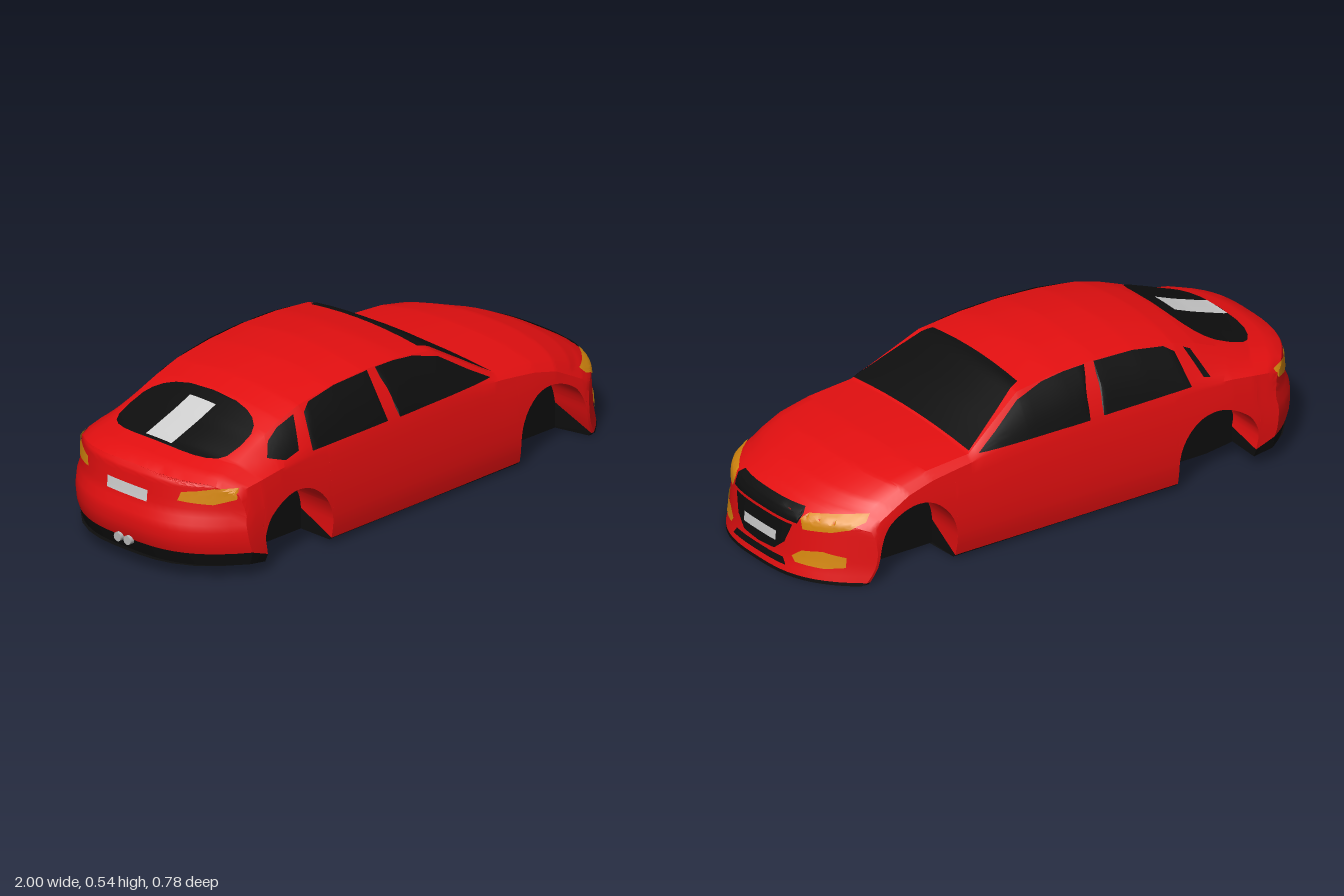
import * as THREE from 'three';
import { mergeGeometries, toCreasedNormals } from 'three/addons/utils/BufferGeometryUtils.js';

const material = (name, color) => new THREE.MeshStandardMaterial({ name, color, side: THREE.DoubleSide });
const V = (x, y, z) => new THREE.Vector3(x, y, z);

// Linear lookup in a table of rows [key, values...]
function lookup(table, key, col = 1) {
  if (key <= table[0][0]) return table[0][col];
  for (let i = 1; i < table.length; i++) {
    const a = table[i - 1], b = table[i];
    if (key <= b[0]) return a[col] + (b[col] - a[col]) * (key - a[0]) / (b[0] - a[0]);
  }
  return table[table.length - 1][col];
}

// station, centre height, roof edge height, roof edge half width, belt height, belt half width
const SECTIONS = [
  [-1, .35, .335, .29, .30, .355], [-.95, .372, .352, .29, .315, .36],
  [-.85, .395, .37, .285, .325, .365], [-.72, .435, .41, .28, .335, .365],
  [-.58, .485, .455, .275, .34, .362], [-.47, .512, .482, .275, .345, .36],
  [-.31, .533, .502, .275, .345, .36], [-.16, .54, .51, .275, .345, .36],
  [0, .532, .505, .275, .345, .36], [.16, .505, .484, .28, .342, .36],
  [.28, .435, .412, .308, .335, .36], [.39, .363, .345, .335, .325, .36],
  [.6, .353, .33, .335, .305, .365], [.76, .33, .305, .335, .28, .37],
  [.88, .292, .268, .335, .245, .372], [.96, .255, .235, .33, .215, .373],
  [1, .225, .21, .325, .19, .373],
];
const FRONT_LEAN = [[.01, 0], [.06, -.012], [.2, -.025], [.25, -.05]];
const REAR_LEAN = [[.05, .03], [.13, 0], [.19, 0], [.23, .02], [.33, .03], [.36, .05]];
const SILL = [[-1, .095], [-.7, .03], [0, .02], [1, .012]];
const FLOOR = [[-1, .05], [-.7, .02], [0, .012], [1, 0]];
const ARCHES = [{ x: .625, r: .156 }, { x: -.57, r: .158 }];
const ARCH_Y = .087, WELL_Z = .24;

// Stations bend backwards towards the sides, which rounds nose and tail in plan
function bentX(s, y, z) {
  const t = Math.max(0, (Math.abs(s) - .4) / .6);
  const lean = lookup(s > 0 ? FRONT_LEAN : REAR_LEAN, y);
  return s + t * lean - Math.sign(s) * .2 * t ** 1.5 * (Math.abs(z) / .39) ** 3;
}
const sideX = s => bentX(s, .1, .385);
function stationAt(x) {
  let a = -1, b = 1;
  for (let i = 0; i < 40; i++) {
    const m = (a + b) / 2;
    if (sideX(m) < x) a = m; else b = m;
  }
  return a;
}
const archAt = s => ARCHES.find(a => Math.abs(sideX(s) - a.x) < a.r);
function lowerEdge(s) {
  const a = archAt(s);
  return a ? ARCH_Y + Math.sqrt(a.r ** 2 - (sideX(s) - a.x) ** 2) : lookup(SILL, s);
}

// Half cross-section as [y, z], from lower edge over belt and roof edge to the centre
function halfSection(s) {
  const [yC, yR, wR, yS, wS] = [1, 2, 3, 4, 5].map(c => lookup(SECTIONS, s, c));
  const out = [], low = lowerEdge(s);
  for (let i = 0; i < 8; i++) {
    const y = low + (yS - low) * i / 8;
    const z = y < .1 ? .388 - .016 * ((.1 - y) / .1) ** 2
      : .388 - (.388 - wS) * ((y - .1) / (yS - .1)) ** 2;
    out.push([y, z]);
  }
  for (let i = 0; i < 5; i++) {
    const f = i / 5;
    out.push([yS + (yR - yS) * f, wS + (wR - wS) * f + (yR - yS) * .05 * Math.sin(Math.PI * f)]);
  }
  for (let i = 0; i <= 8; i++) {
    const f = 1 - i / 8;
    out.push([yR + (yC - yR) * (1 - f * f), wR * f]);
  }
  return out;
}

// Surface through rows of points
function grid(rows) {
  const n = rows[0].length, index = [];
  for (let i = 0; i < rows.length - 1; i++) for (let j = 0; j < n - 1; j++) {
    const a = i * n + j, b = a + n;
    index.push(a, b, b + 1, a, b + 1, a + 1);
  }
  const g = new THREE.BufferGeometry().setFromPoints(rows.flat());
  g.setIndex(index);
  return g;
}

// Rounded end face built of horizontal rows
function endCap(s, levels) {
  return grid(levels.map(([y, z]) => Array.from({ length: 25 }, (_, i) => {
    const zz = s * z * (i / 12 - 1);
    return V(bentX(s, y, zz), y, zz);
  })));
}

export function createModel() {
  const model = new THREE.Group();
  model.name = 'car';
  const red = material('body red', 0xe30f10), black = material('black', 0x0e0e0e);
  const amber = material('lamp amber', 0xd8890f), pale = material('plate grey', 0xcfcfcf);
  const silver = material('exhaust silver', 0xb8b8b8);
  const add = (name, geometry, mat) => {
    const mesh = new THREE.Mesh(geometry, mat);
    mesh.name = name;
    model.add(mesh);
    return mesh;
  };
  const smooth = (...parts) => toCreasedNormals(mergeGeometries(parts), .5);

  // Stations, packed more closely around the wheel arches
  const stations = SECTIONS.map(r => r[0]);
  for (let i = 1; i < 60; i++) stations.push(-1 + i / 30);
  for (const a of ARCHES) {
    for (let i = 1; i < 20; i++) stations.push(stationAt(a.x + a.r * Math.cos(Math.PI * i / 20)));
    for (const k of [-1.0003, -.9997, .9997, 1.0003]) stations.push(stationAt(a.x + a.r * k));
  }
  stations.sort((a, b) => a - b);

  // Body shell with nose and tail
  const shell = grid(stations.map(s => {
    const half = halfSection(s).map(([y, z]) => V(bentX(s, y, z), y, z));
    return [...half, ...half.slice(0, -1).reverse().map(p => V(p.x, p.y, -p.z))];
  }));
  const body = add('body', smooth(shell, endCap(1, halfSection(1)), endCap(-1, halfSection(-1))), red);
  body.updateMatrixWorld();

  // Underside, inner walls and red linings of the wheel wells
  const under = [], linings = { 1: [], [-1]: [] };
  for (const s of stations) {
    const [y, w] = halfSection(s)[0], inArch = archAt(s), yF = lookup(FLOOR, s);
    const zF = inArch ? WELL_Z : w * .97, x = bentX(s, y, w);
    const rim = V(x, y, w), inner = V(x, y, inArch ? WELL_Z : w);
    const flip = p => V(p.x, p.y, -p.z);
    const row = [flip(inner)];
    for (let i = -6; i <= 6; i++) row.push(V(bentX(s, y, w * i / 6), yF, zF * i / 6));
    row.push(inner);
    under.push(row);
    linings[1].push([inner, rim]);
    linings[-1].push([flip(rim), flip(inner)]);
  }
  add('underside', smooth(grid(under)), black);
  add('wheelWellLinings', smooth(grid(linings[1]), grid(linings[-1])), red);
  for (const s of [1, -1]) {
    const [y, w] = halfSection(s)[0];
    add(s > 0 ? 'frontLip' : 'rearDiffuser', smooth(endCap(s, [[lookup(FLOOR, s), w * .97], [y, w]])), black);
  }

  // Thin plate: an outline in two axes laid onto the body along the third
  const ray = new THREE.Raycaster();
  const VIEWS = {
    left: [(u, v) => V(u, v, 3), V(0, 0, -1)], right: [(u, v) => V(u, v, -3), V(0, 0, 1)],
    top: [(u, v) => V(u, 3, v), V(0, -1, 0)],
    front: [(u, v) => V(3, v, u), V(-1, 0, 0)], rear: [(u, v) => V(-3, v, u), V(1, 0, 0)],
  };
  function plate(name, mat, view, outline, lift = .004) {
    const [origin, dir] = VIEWS[view];
    const us = outline.map(p => p[0]), lo = Math.min(...us), hi = Math.max(...us);
    for (let i = 1; i < 14; i++) us.push(lo + (hi - lo) * i / 14);
    us.sort((a, b) => a - b);
    let last = 2.5;
    const rows = us.map(u => {
      const vs = [];
      outline.forEach((a, i) => {
        const b = outline[(i + 1) % outline.length];
        if (u < Math.min(a[0], b[0]) - 1e-9 || u > Math.max(a[0], b[0]) + 1e-9) return;
        if (Math.abs(a[0] - b[0]) < 1e-9) vs.push(a[1], b[1]);
        else vs.push(a[1] + (b[1] - a[1]) * (u - a[0]) / (b[0] - a[0]));
      });
      const v0 = Math.min(...vs), v1 = Math.max(...vs);
      return Array.from({ length: 8 }, (_, j) => {
        const o = origin(u, v0 + (v1 - v0) * j / 7);
        ray.set(o, dir);
        const hit = ray.intersectObject(body)[0];
        if (!hit) return o.addScaledVector(dir, last);
        last = hit.distance;
        const n = hit.face.normal.clone();
        if (n.dot(dir) > 0) n.negate();
        return hit.point.clone().addScaledVector(n, lift);
      });
    });
    add(name, smooth(grid(rows)), mat);
  }
  const box = (u0, u1, v0, v1) => [[u0, v0], [u1, v0], [u1, v1], [u0, v1]];
  const mirrored = half => [...half, ...half.slice().reverse().map(([u, v]) => [-u, v])];

  // Windows
  for (const side of ['left', 'right']) {
    plate(side + 'FrontWindow', black, side,
      [[-.075, .345], [-.107, .506], [-.02, .503], [.064, .493], [.17, .462], [.28, .39], [.36, .343]]);
    plate(side + 'RearWindow', black, side,
      [[-.48, .35], [-.455, .46], [-.42, .483], [-.3, .502], [-.145, .507], [-.13, .347]]);
  }
  plate('leftQuarterWindow', black, 'left',
    [[-.66, .37], [-.625, .41], [-.57, .44], [-.495, .462], [-.535, .365], [-.6, .352]]);
  plate('rightQuarterWindow', black, 'right', [[-.56, .36], [-.52, .45], [-.495, .462], [-.535, .365]]);
  plate('windscreen', black, 'top',
    [[.13, -.24], [.15, 0], [.13, .24], [.25, .285], [.383, .33], [.383, -.33], [.25, -.285]]);
  const pow = v => Math.sign(v) * Math.abs(v) ** .65;
  plate('rearScreen', black, 'top', Array.from({ length: 24 }, (_, i) => {
    const a = i / 12 * Math.PI;
    return [-.705 + .135 * pow(Math.cos(a)), .25 * pow(Math.sin(a))];
  }));
  plate('rearScreenPanel', pale, 'top', box(-.83, -.62, -.058, .058), .008);

  // Nose: grilles, intake, plate
  plate('upperGrille', black, 'front', mirrored([[.175, .188], [.185, .222], [.17, .236]]));
  plate('mainGrille', black, 'front', mirrored([[.157, .178], [.13, .11], [.085, .072], [.001, .066]]));
  plate('lowerIntake', black, 'front', mirrored([[.147, .033], [.13, .055]]));
  plate('frontPlate', pale, 'front', box(-.092, .085, .102, .135), .008);

  // Lamps
  for (const k of [1, -1]) {
    const side = k > 0 ? 'left' : 'right', m = pts => pts.map(([u, v]) => [u * k, v]);
    plate(side + 'Headlamp', amber, 'front', m([[.349, .218], [.339, .241], [.2, .226],
      [.184, .207], [.197, .174], [.285, .182], [.33, .197]]));
    plate(side + 'FogLamp', amber, 'front', m([[.326, .098], [.264, .111], [.2, .1],
      [.165, .073], [.18, .054], [.274, .052], [.326, .063]]));
    plate(side + 'TailLamp', amber, 'rear', m([[.2, .275], [.21, .305], [.3, .323], [.345, .318],
      [.352, .285], [.3, .268]]));
    // Exhaust tips
    const tip = add(side + 'Exhaust', new THREE.CylinderGeometry(.016, .016, .06, 16), silver);
    tip.rotation.z = Math.PI / 2;
    tip.position.set(-.972, .093, .022 * k);
  }
  plate('rearPlate', pale, 'rear', box(-.09, .09, .245, .285));

  return model;
}
